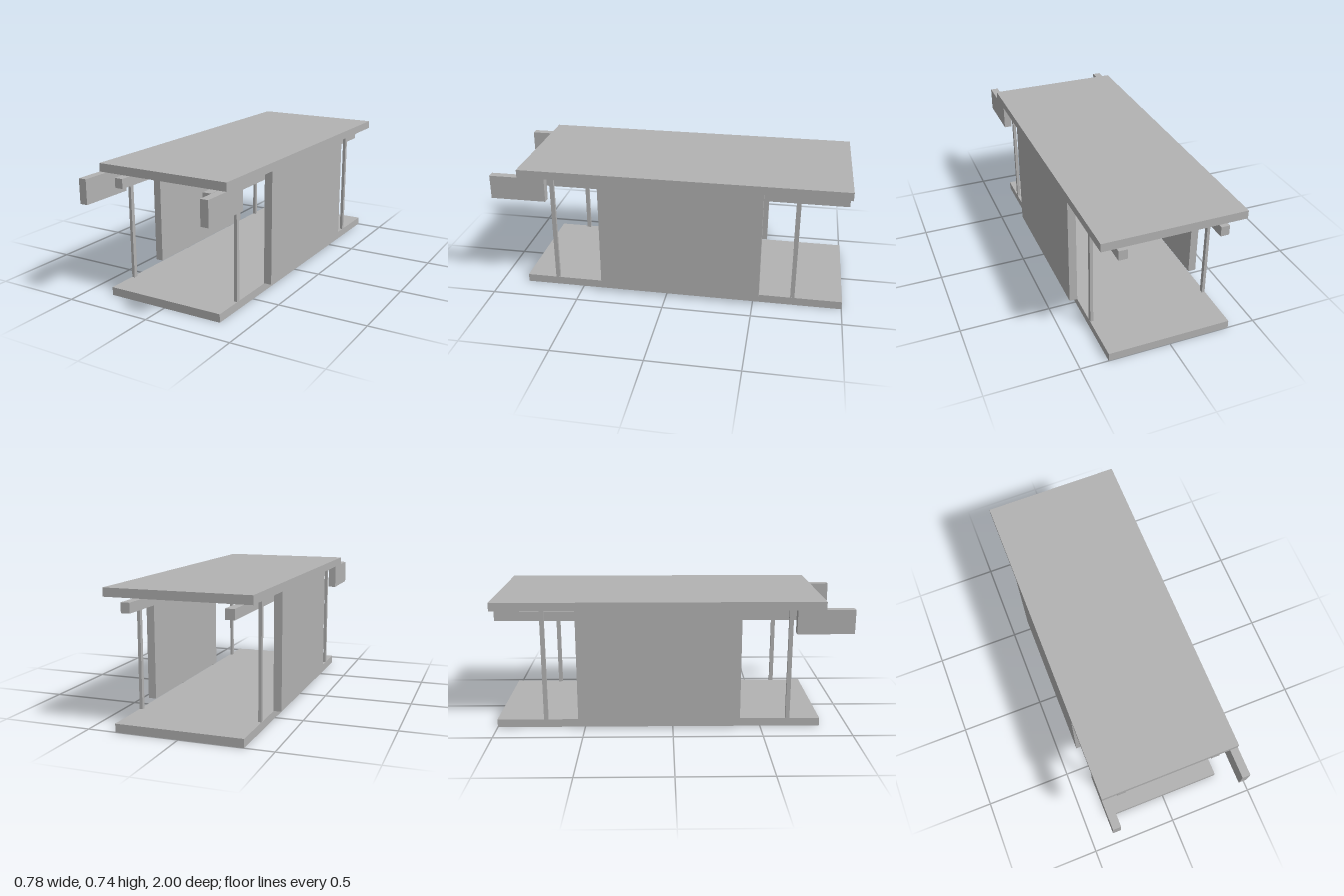
import * as THREE from 'three';

export function createModel() {
  const model = new THREE.Group();
  model.name = 'pavilion';
  const grey = new THREE.MeshStandardMaterial({ color: 0xb2b2b2 });
  grey.name = 'plain grey';

  // Box given by its lower and upper limits on each axis
  const block = (name, [x0, x1], [y0, y1], [z0, z1]) => {
    const mesh = new THREE.Mesh(new THREE.BoxGeometry(x1 - x0, y1 - y0, z1 - z0), grey);
    mesh.position.set((x0 + x1) / 2, (y0 + y1) / 2, (z0 + z1) / 2);
    mesh.name = name;
    model.add(mesh);
  };

  // Mirrored pair on the left (+x) and right (-x)
  const pair = (name, [x0, x1], y, z) => {
    block(name + 'Left', [x0, x1], y, z);
    block(name + 'Right', [-x1, -x0], y, z);
  };

  // Floor and roof slabs
  block('floor', [-0.345, 0.345], [0, 0.046], [-1, 0.84]);
  block('roof', [-0.39, 0.39], [0.691, 0.737], [-1, 0.84]);

  // Side walls and the projecting front brackets
  pair('sideWall', [0.345, 0.39], [0.048, 0.691], [-0.535, 0.38]);
  pair('frontBracket', [0.345, 0.39], [0.555, 0.691], [0.683, 1]);

  // Long beams hung under the roof
  pair('beam', [0.249, 0.297], [0.613, 0.667], [-0.992, 0.832]);

  // Slim posts
  pair('frontPost', [0.327, 0.344], [0.046, 0.691], [0.645, 0.669]);
  pair('backPost', [0.327, 0.344], [0.046, 0.691], [-0.735, -0.711]);

  // Thin ceiling plate
  block('ceilingPlate', [-0.075, 0.075], [0.678, 0.688], [-0.152, -0.002]);

  return model;
}
